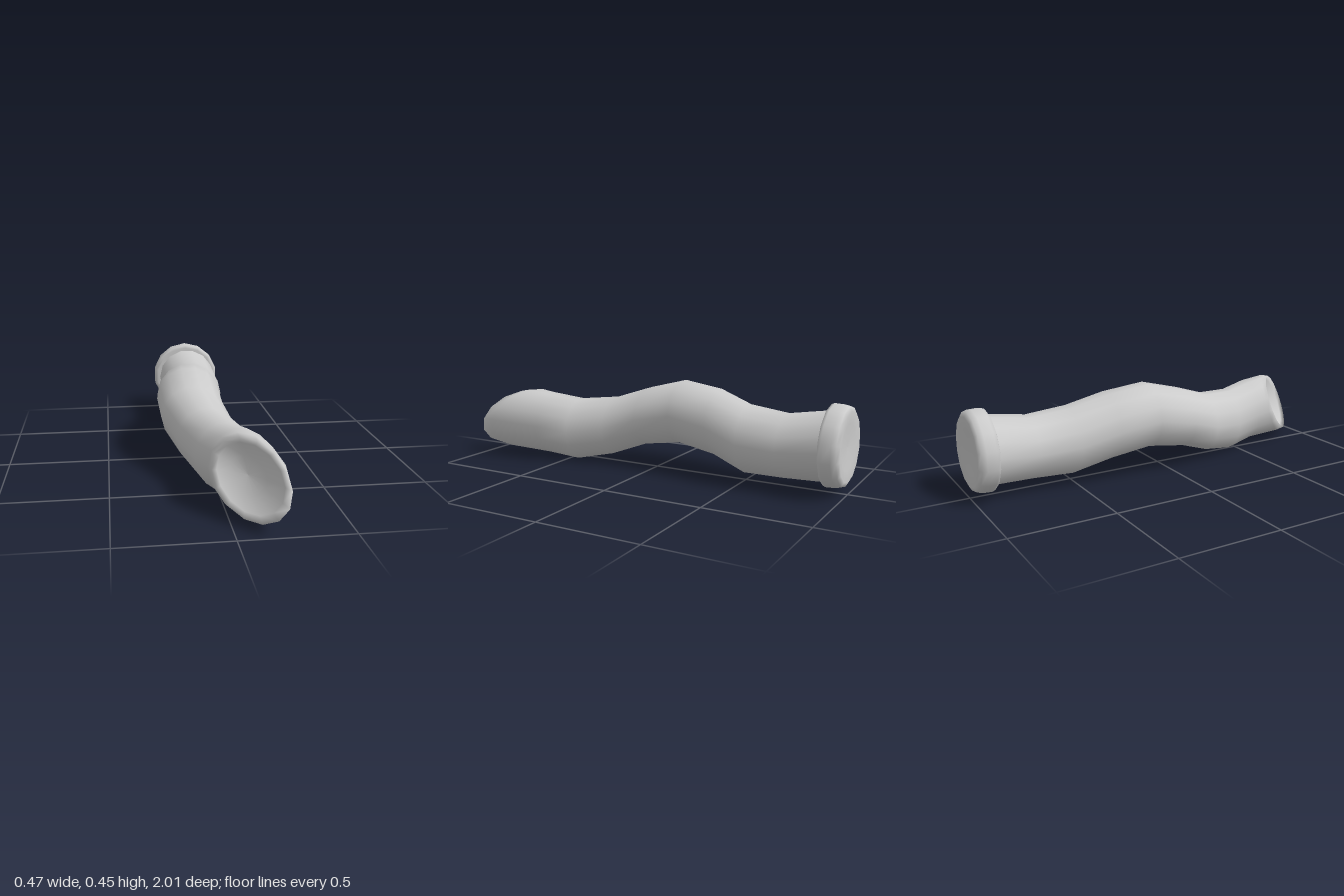
import * as THREE from 'three';

const SIDES = 14;
const material = new THREE.MeshStandardMaterial({ color: 0xcccccc });

// Smooth skin over rings; each ring is a function from angle to [x, y, z]
function loft(rings) {
  const positions = [], index = [];
  for (const ring of rings) {
    for (let j = 0; j < SIDES; j++) positions.push(...ring((j / SIDES) * Math.PI * 2));
  }
  for (let i = 0; i < rings.length - 1; i++) {
    for (let j = 0; j < SIDES; j++) {
      const k = (j + 1) % SIDES;
      const a = i * SIDES + j, b = i * SIDES + k;
      const c = a + SIDES, d = b + SIDES;
      index.push(a, b, c, b, d, c);
    }
  }
  const geometry = new THREE.BufferGeometry();
  geometry.setAttribute('position', new THREE.Float32BufferAttribute(positions, 3));
  geometry.setIndex(index);
  geometry.computeVertexNormals();
  return geometry;
}

// Cross-section given by its extents
function section([z, left, right, bottom, top]) {
  return (a) => [
    (left + right) / 2 + ((right - left) / 2) * Math.cos(a),
    (bottom + top) / 2 + ((top - bottom) / 2) * Math.sin(a),
    z,
  ];
}

// Slanted cut at the front: furthest forward low on the +x side
const cutZ = (a, s) => 0.84 + s * (0.147 * Math.cos(a) - 0.08 * Math.sin(a));

function cutRing(scale, dent) {
  return (a) => [
    0.08 + 0.152 * scale * Math.cos(a),
    0.203 + 0.167 * scale * Math.sin(a),
    cutZ(a, scale) - dent,
  ];
}

export function createModel() {
  const group = new THREE.Group();

  // Winding body: z, left, right, bottom, top
  const stations = [
    [-0.93, -0.165, 0.17, 0.06, 0.395],
    [-0.7, -0.155, 0.172, 0.053, 0.358],
    [-0.5, -0.172, 0.16, 0.048, 0.38],
    [-0.32, -0.22, 0.117, 0.105, 0.435],
    [-0.11, -0.236, 0.095, 0.138, 0.462],
    [0.09, -0.23, 0.095, 0.108, 0.41],
    [0.27, -0.168, 0.125, 0.042, 0.35],
    [0.46, -0.105, 0.175, 0.004, 0.334],
    [0.62, -0.072, 0.218, 0.028, 0.357],
  ];
  const shoulder = (a) => {
    const [x, y, z] = cutRing(1, 0)(a);
    return [x, y, 0.62 + (z - 0.62) * 0.82];
  };
  const body = new THREE.Mesh(loft([
    ...stations.map(section),
    shoulder,
    cutRing(0.94, -0.01),
    cutRing(0.8, 0.01), // hollowed cut face
    cutRing(0.45, 0.045),
    cutRing(0, 0.055),
  ]), material);
  body.name = 'body';
  group.add(body);

  // Rounded end cap at the back, with a slightly dished face
  const profile = [
    [0, 0.012], [0.11, 0.008], [0.165, 0], [0.186, 0.012], [0.194, 0.035],
    [0.196, 0.08], [0.19, 0.095], [0.175, 0.1], [0.13, 0.1],
  ].map(([r, h]) => new THREE.Vector2(r, h));
  const cap = new THREE.Mesh(new THREE.LatheGeometry(profile, SIDES), material);
  cap.name = 'endCap';
  cap.rotation.x = Math.PI / 2;
  cap.position.set(-0.003, 0.23, -1);
  group.add(cap);

  return group;
}
